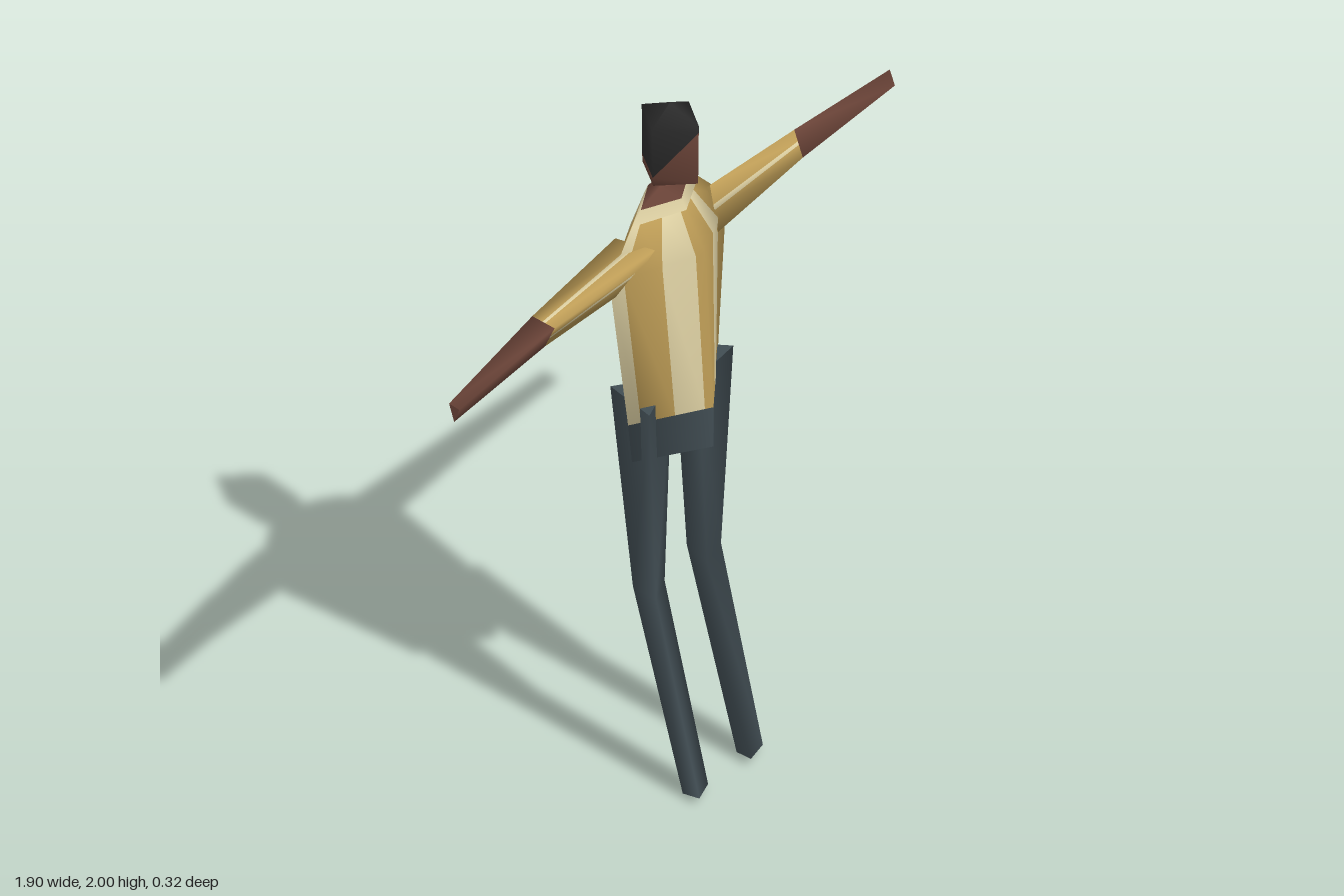
import * as THREE from 'three';

const make = (name, color) => {
  const m = new THREE.MeshStandardMaterial({ color });
  m.name = name;
  return m;
};

// Lofts a closed tube through rings of corner points, with smooth normals and flat end caps.
// paint(band, side) returns a list of [endFraction, material] columns across that face.
function loft(name, rings, paint) {
  const n = rings[0].length;
  const pts = rings.flat().map((p) => new THREE.Vector3(...p));
  const at = (r, k) => r * n + (k % n);
  const sides = [];
  for (let r = 0; r < rings.length - 1; r++) {
    for (let k = 0; k < n; k++) {
      const [a, b, c, d] = [at(r, k), at(r, k + 1), at(r + 1, k + 1), at(r + 1, k)];
      sides.push([a, b, c], [a, c, d]);
    }
  }
  const caps = [];
  for (let k = 1; k < n - 1; k++) {
    const e = rings.length - 1;
    caps.push([at(0, 0), at(0, k + 1), at(0, k)], [at(e, 0), at(e, k), at(e, k + 1)]);
  }
  // Outward direction from the signed volume
  const cross = new THREE.Vector3();
  let volume = 0;
  for (const [a, b, c] of [...sides, ...caps]) volume += pts[a].dot(cross.crossVectors(pts[b], pts[c]));
  const orient = (t) => (volume < 0 ? [t[0], t[2], t[1]] : t);

  const coarse = new THREE.BufferGeometry().setFromPoints(pts);
  coarse.setIndex(sides.flatMap(orient));
  coarse.computeVertexNormals();
  const normals = pts.map((_, i) => new THREE.Vector3().fromBufferAttribute(coarse.attributes.normal, i));

  const byMaterial = new Map();
  const emit = (material, corners) => {
    if (!byMaterial.has(material)) byMaterial.set(material, []);
    byMaterial.get(material).push(...orient(corners));
  };
  const mix = (i, j, t) => ({
    p: pts[i].clone().lerp(pts[j], t),
    n: normals[i].clone().lerp(normals[j], t).normalize(),
  });
  for (let r = 0; r < rings.length - 1; r++) {
    for (let k = 0; k < n; k++) {
      let from = 0;
      for (const [to, material] of paint(r, k)) {
        const a = mix(at(r, k), at(r, k + 1), from);
        const b = mix(at(r, k), at(r, k + 1), to);
        const c = mix(at(r + 1, k), at(r + 1, k + 1), to);
        const d = mix(at(r + 1, k), at(r + 1, k + 1), from);
        emit(material, [a, b, c]);
        emit(material, [a, c, d]);
        from = to;
      }
    }
  }
  caps.forEach((t, i) => {
    const o = orient(t).map((v) => pts[v]);
    const normal = new THREE.Triangle(...o).getNormal(new THREE.Vector3());
    const material = paint(i % 2 ? rings.length - 2 : 0, 0)[0][1];
    emit(material, t.map((v) => ({ p: pts[v], n: normal })));
  });

  const geometry = new THREE.BufferGeometry();
  const position = [], normal = [], materials = [];
  for (const [material, corners] of byMaterial) {
    geometry.addGroup(position.length / 3, corners.length, materials.length);
    materials.push(material);
    for (const v of corners) {
      position.push(...v.p.toArray());
      normal.push(...v.n.toArray());
    }
  }
  geometry.setAttribute('position', new THREE.Float32BufferAttribute(position, 3));
  geometry.setAttribute('normal', new THREE.Float32BufferAttribute(normal, 3));
  const mesh = new THREE.Mesh(geometry, materials);
  mesh.name = name;
  return mesh;
}

// Diamond ring: left, front, right and back corners
const diamond = (y, x, front, back) => {
  const mid = (front + back) / 2;
  return [[x, y, mid], [0, y, front], [-x, y, mid], [0, y, back]];
};

export function createModel() {
  const shirt = make('shirt gold', 0xbd9c56);
  const stripe = make('stripe cream', 0xdccfa2);
  const trousers = make('trouser slate', 0x414d53);
  const skin = make('skin brown', 0x6e463a);
  const hair = make('hair black', 0x2b2b2b);
  const group = new THREE.Group();
  group.name = 'figure';

  // Torso: hips, striped shirt, pale collar and neck
  const stripes = [
    [[0.4, shirt], [0.65, stripe], [1, shirt]],
    [[0.1, shirt], [0.45, stripe], [0.85, shirt], [1, stripe]],
    [[0.1, stripe], [0.75, shirt], [1, stripe]],
    [[0.43, shirt], [0.57, stripe], [0.8, shirt], [1, stripe]],
  ];
  const torsoBands = [trousers, null, null, stripe, skin];
  group.add(loft('torso', [
    diamond(1.0, 0.18, 0.1, -0.152),
    diamond(1.12, 0.195, 0.1, -0.155),
    diamond(1.58, 0.255, 0.075, -0.16),
    diamond(1.69, 0.145, 0.015, -0.118),
    diamond(1.72, 0.105, 0.0, -0.105),
    diamond(1.765, 0.05, -0.005, -0.065),
  ], (band, side) => (torsoBands[band] ? [[1, torsoBands[band]]] : stripes[side])));

  // Head: the hairline ring rises to a peak over the face
  const hairline = diamond(1.81, 0.077, 0.054, -0.124);
  hairline[1][1] = 1.94;
  group.add(loft('head', [
    diamond(1.75, 0.002, -0.033, -0.037),
    diamond(1.785, 0.075, 0.052, -0.122),
    hairline,
    diamond(1.96, 0.08, 0.055, -0.125),
    diamond(2.0, 0.002, -0.033, -0.037),
  ], (band) => [[1, band < 2 ? skin : hair]]));

  // Arms: three-sided, sleeve to the elbow and bare below
  const armPaint = (band) => (band ? [[1, skin]] : [[0.42, shirt], [0.54, stripe], [1, shirt]]);
  group.add(loft('leftArm', [
    [[0.165, 1.66, -0.03], [0.14, 1.547, 0.014], [0.15, 1.58, -0.1]],
    [[0.54, 1.625, -0.035], [0.54, 1.55, -0.008], [0.54, 1.57, -0.08]],
    [[0.95, 1.59, -0.03], [0.95, 1.547, -0.014], [0.95, 1.558, -0.046]],
  ], armPaint));
  group.add(loft('rightArm', [
    [[-0.13, 1.635, 0.01], [-0.15, 1.64, -0.1], [-0.18, 1.53, -0.035]],
    [[-0.54, 1.61, -0.01], [-0.54, 1.62, -0.08], [-0.54, 1.543, -0.04]],
    [[-0.95, 1.58, -0.014], [-0.95, 1.587, -0.046], [-0.95, 1.537, -0.03]],
  ], armPaint));

  // Legs: three-sided, bent at the knee with the feet swung forward
  const legPaint = () => [[1, trousers]];
  group.add(loft('leftLeg', [
    [[0.205, 1.165, 0.015], [0.13, 1.165, -0.12], [0.03, 1.165, 0.03]],
    [[0.165, 0.58, 0.005], [0.12, 0.57, -0.07], [0.07, 0.58, 0.03]],
    [[0.16, 0.018, 0.14], [0.115, 0, 0.09], [0.08, 0.025, 0.16]],
  ], legPaint));
  group.add(loft('rightLeg', [
    [[-0.182, 1.165, 0.03], [-0.13, 1.165, -0.13], [0.0, 1.165, -0.03]],
    [[-0.145, 0.58, 0.025], [-0.115, 0.57, -0.07], [-0.06, 0.58, -0.01]],
    [[-0.145, 0.025, 0.16], [-0.12, 0, 0.09], [-0.065, 0.015, 0.13]],
  ], legPaint));

  return group;
}
